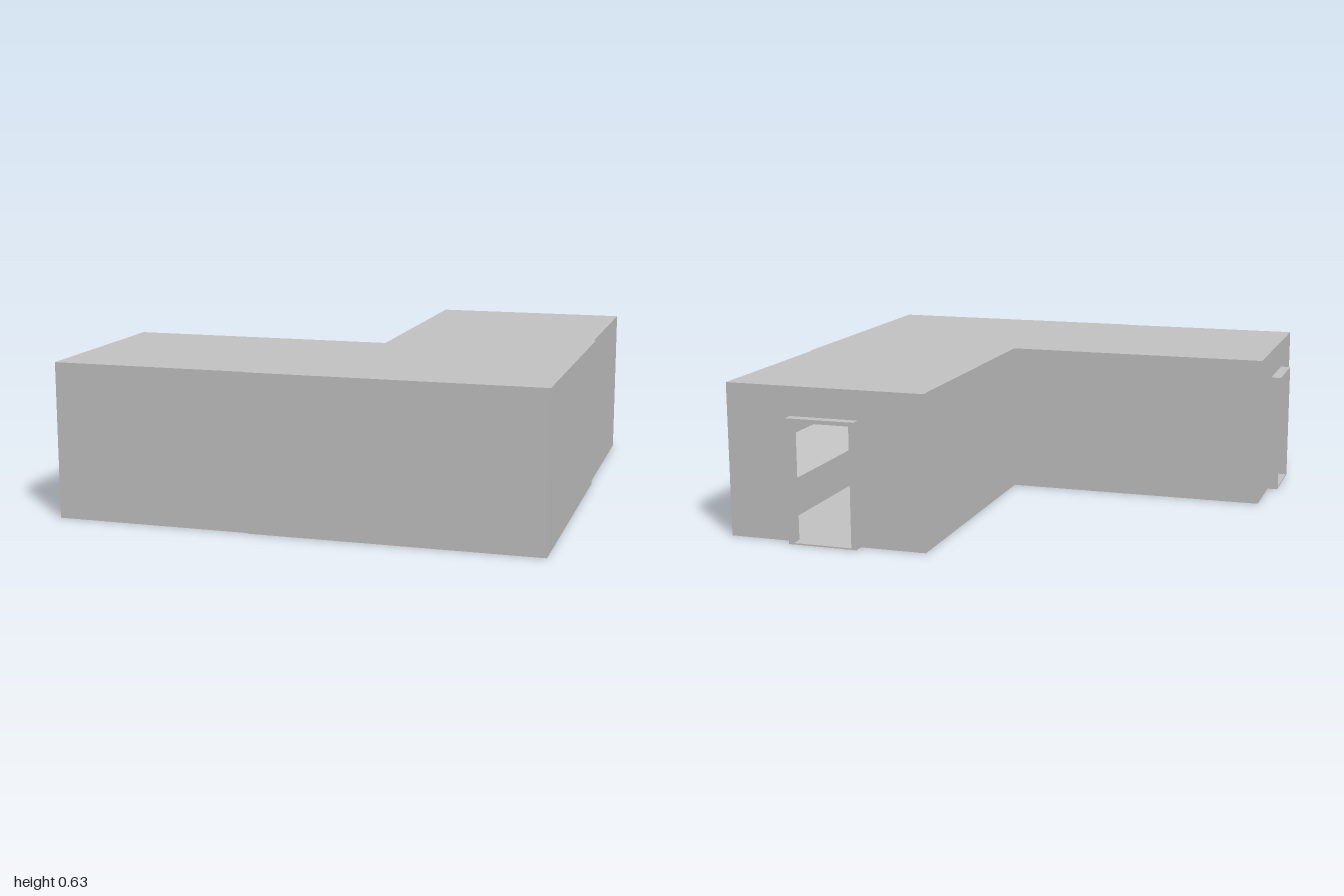
import * as THREE from 'three';

const END = -0.957;            // plane of both corridor ends
const IN = 0.155, OUT = 0.992; // inner and outer wall planes
const H = 0.63;
const MID = (IN + OUT) / 2;

// Sweeps a closed cross-section [across, height] along the L, mitred at the corner.
function sweepCorner(profile) {
  const stations = [
    ([u, y]) => [u, y, END],
    ([u, y]) => [u, y, u],
    ([u, y]) => [END, y, u],
  ];
  const pos = [];
  for (let s = 0; s < 2; s++) {
    profile.forEach((p, i) => {
      const q = profile[(i + 1) % profile.length];
      const a = stations[s](p), b = stations[s](q);
      const c = stations[s + 1](q), d = stations[s + 1](p);
      pos.push(...a, ...b, ...c, ...a, ...c, ...d);
    });
  }
  const g = new THREE.BufferGeometry();
  g.setAttribute('position', new THREE.Float32BufferAttribute(pos, 3));
  g.computeVertexNormals();
  return g;
}

function rect(target, x0, x1, y0, y1) {
  target.moveTo(x0, y0);
  target.lineTo(x1, y0);
  target.lineTo(x1, y1);
  target.lineTo(x0, y1);
  target.closePath();
  return target;
}

// Flat plate with a rectangular opening, drawn in across/height coordinates.
function plateWithDoor(outer, hole, depth) {
  const shape = rect(new THREE.Shape(), ...outer);
  shape.holes.push(rect(new THREE.Path(), ...hole));
  return new THREE.ExtrudeGeometry(shape, { depth, bevelEnabled: false });
}

export function createModel() {
  const model = new THREE.Group();
  const grey = new THREE.MeshStandardMaterial({ color: 0xc4c4c4, side: THREE.DoubleSide });
  grey.name = 'wall grey';
  const add = (name, geometry, parent = model) => {
    const mesh = new THREE.Mesh(geometry, grey);
    mesh.name = name;
    parent.add(mesh);
    return mesh;
  };

  // Outside walls, roof and underside
  add('outerShell', sweepCorner([[IN, 0], [IN, H], [OUT, H], [OUT, 0]]));

  // Inside: floor, sloping ledges on both sides, walls and chamfered ceiling
  const a = IN + 0.004, b = OUT - 0.004, ledge = 0.13;
  add('innerLining', sweepCorner([
    [a + ledge, 0.006], [b - ledge, 0.006], [b - ledge, 0.17], [b, 0.3], [b, 0.51],
    [b - ledge, H - 0.006], [a + ledge, H - 0.006], [a, 0.51], [a, 0.3], [a + ledge, 0.17],
  ]));

  // Slightly raised wall panels around the outer corner
  const seam = -0.16, step = 1 - OUT;
  const span = 1 - seam;
  const side = add('cornerPanelSide', new THREE.BoxGeometry(step, H, span));
  side.position.set(OUT + step / 2, H / 2, seam + span / 2);
  const front = add('cornerPanelFront', new THREE.BoxGeometry(span, H, step));
  front.position.set(seam + span / 2, H / 2, OUT + step / 2);

  // Both ends: wall with doorway and projecting frame
  const f0 = MID - 0.145, f1 = MID + 0.145, top = 0.51, jamb = 0.022;
  const opening = [f0 + jamb, f1 - jamb, 0.006, top - 0.016];
  const makeEnd = (name) => {
    const end = new THREE.Group();
    end.name = name;
    add('endWall', plateWithDoor([IN, OUT, 0, H], opening, 0.004), end).position.z = END;
    add('doorFrame', plateWithDoor([f0, f1, 0, top], opening, 1 + END), end).position.z = -1;
    model.add(end);
    return end;
  };
  makeEnd('backEnd');
  // Mirror across the diagonal: swaps x and z
  const rightEnd = makeEnd('rightEnd');
  rightEnd.rotation.y = Math.PI / 2;
  rightEnd.scale.x = -1;

  return model;
}
